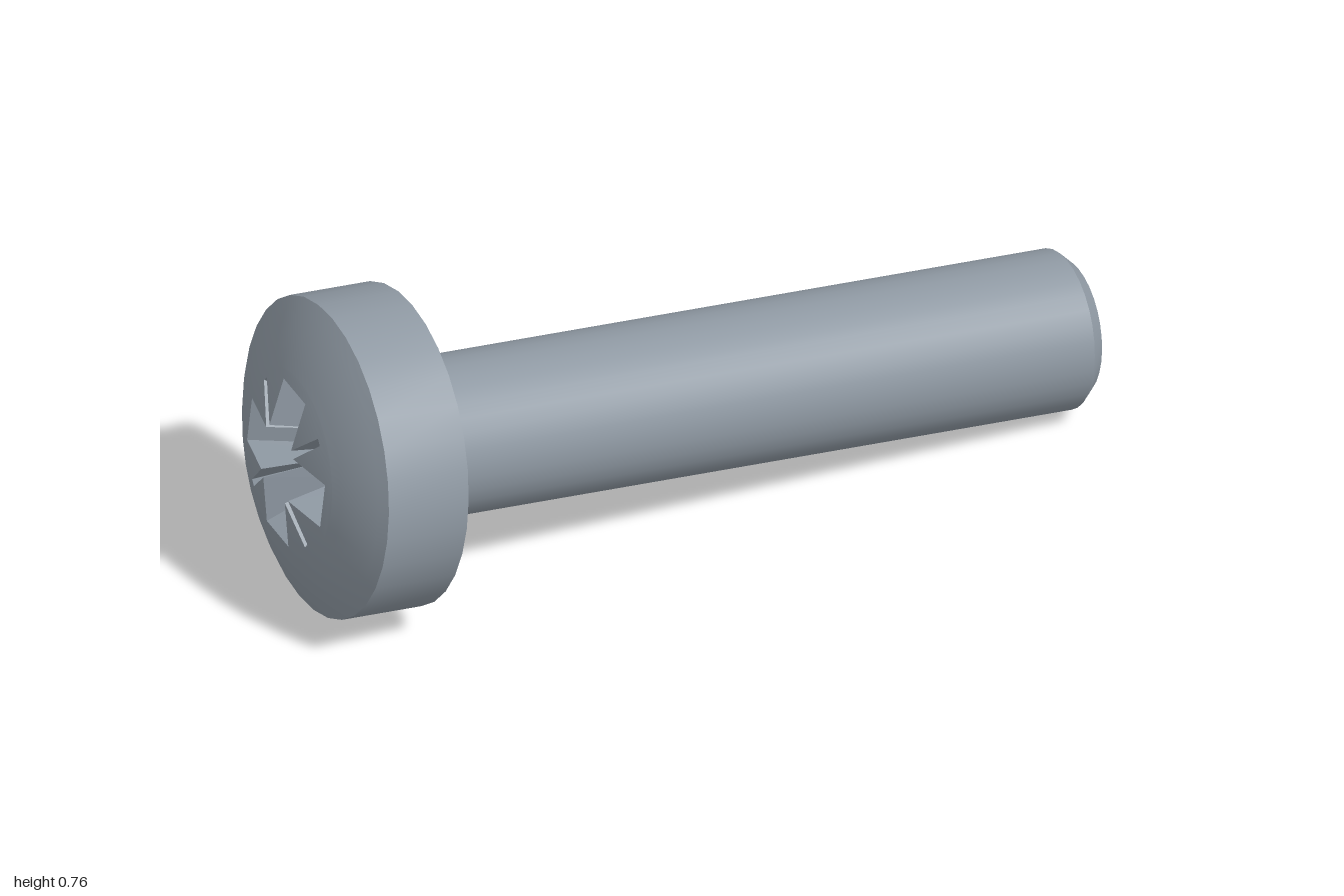
import * as THREE from 'three';
import { toCreasedNormals } from 'three/addons/utils/BufferGeometryUtils.js';

const SEG = 32;
const HEAD_R = 0.37, RIM = 0.2, DOME_H = 0.103;
const SHANK_R = 0.184, FILLET = 0.025, SOCKET_R = 0.22;
const DOME_R = (HEAD_R ** 2 + DOME_H ** 2) / (2 * DOME_H);
const DOME_C = RIM + DOME_H - DOME_R; // height of the dome's sphere centre
const domeY = (r) => DOME_C + Math.sqrt(DOME_R ** 2 - r * r);

const lathe = (pts) => toCreasedNormals(
  new THREE.LatheGeometry(pts.map(([r, y]) => new THREE.Vector2(r, y)), SEG), 0.5);

// Cross-shaped drive outline: four wings with a thin tick in each corner
function crossOutline(quarter) {
  const out = [];
  for (let k = 0; k < 4; k++) {
    for (const [x, y] of quarter) {
      out.push(new THREE.Vector2(x, y).rotateAround(new THREE.Vector2(), k * Math.PI / 2));
    }
  }
  return out;
}

export function createModel() {
  const steel = new THREE.MeshStandardMaterial({ color: 0x8f99a3 });
  steel.name = 'steel grey';

  const group = new THREE.Group();
  group.name = 'screw';
  const body = new THREE.Group();
  body.name = 'tiltedScrew';
  group.add(body);
  const add = (name, geometry) => {
    const mesh = new THREE.Mesh(geometry, steel);
    mesh.name = name;
    body.add(mesh);
  };

  // Shank with chamfered tip and a fillet under the head
  const shank = [[0, -1.695], [0.154, -1.695], [SHANK_R, -1.662], [SHANK_R, -FILLET]];
  for (let i = 1; i <= 5; i++) {
    const a = i / 5 * Math.PI / 2;
    shank.push([SHANK_R + FILLET * (1 - Math.cos(a)), -FILLET + FILLET * Math.sin(a)]);
  }
  add('shank', lathe(shank));

  // Head: flat underside, straight rim, outer ring of the dome
  const head = [[SHANK_R + FILLET, 0], [HEAD_R, 0]];
  for (let i = 0; i <= 6; i++) {
    const r = HEAD_R + (SOCKET_R - HEAD_R) * i / 6;
    head.push([r, domeY(r)]);
  }
  add('head', lathe(head));

  // Centre of the dome, pierced by the cross drive
  const w = 0.056, t = 0.014, tick = 0.139, d = 0.006;
  const top = crossOutline([[0.19, -w], [0.19, w], [w + t, w],
    [tick + d, tick - d], [tick - d, tick + d], [w, w + t]]);
  const low = crossOutline([[0.09, -0.035], [0.09, 0.035],
    [0.035, 0.035], [0.035, 0.035], [0.035, 0.035], [0.035, 0.035]]);
  const ring = [];
  for (let i = 0; i < SEG; i++) {
    const a = i / SEG * Math.PI * 2;
    ring.push(new THREE.Vector2(SOCKET_R * Math.cos(a), SOCKET_R * Math.sin(a)));
  }
  const capShape = new THREE.Shape(ring);
  capShape.holes.push(new THREE.Path(top));
  const cap = new THREE.ShapeGeometry(capShape);
  const pos = cap.attributes.position, nor = cap.attributes.normal;
  for (let i = 0; i < pos.count; i++) {
    const x = pos.getX(i), z = -pos.getY(i), y = domeY(Math.hypot(x, z));
    pos.setXYZ(i, x, y, z);
    nor.setXYZ(i, x / DOME_R, (y - DOME_C) / DOME_R, z / DOME_R);
  }
  add('domeCentre', cap);

  // Tapered walls and floor of the drive recess
  const floorY = 0.1, verts = [];
  const T = (p) => [p.x, domeY(p.length()), -p.y];
  const B = (p) => [p.x, floorY, -p.y];
  top.forEach((a, i) => {
    const j = (i + 1) % top.length;
    verts.push(...T(a), ...T(top[j]), ...B(low[j]));
    if (low[i].distanceTo(low[j]) < 1e-6) return;
    verts.push(...T(a), ...B(low[j]), ...B(low[i]));
    verts.push(0, floorY, 0, ...B(low[i]), ...B(low[j]));
  });
  const recess = new THREE.BufferGeometry();
  recess.setAttribute('position', new THREE.Float32BufferAttribute(verts, 3));
  recess.computeVertexNormals();
  add('driveRecess', recess);

  // Lay the screw along its slanted axis, head to the right and tip to the left
  const yAxis = new THREE.Vector3(-0.972, 0.111, -0.2076).normalize();
  const xAxis = new THREE.Vector3(0, 1, 0).cross(yAxis).normalize().negate();
  xAxis.set(-0.209, 0, 0.978).addScaledVector(yAxis, -xAxis.set(-0.209, 0, 0.978).dot(yAxis)).normalize();
  const zAxis = new THREE.Vector3().crossVectors(xAxis, yAxis);
  body.quaternion.setFromRotationMatrix(new THREE.Matrix4().makeBasis(xAxis, yAxis, zAxis));
  body.position.set(-0.685, 0.372, -0.065);
  return group;
}
